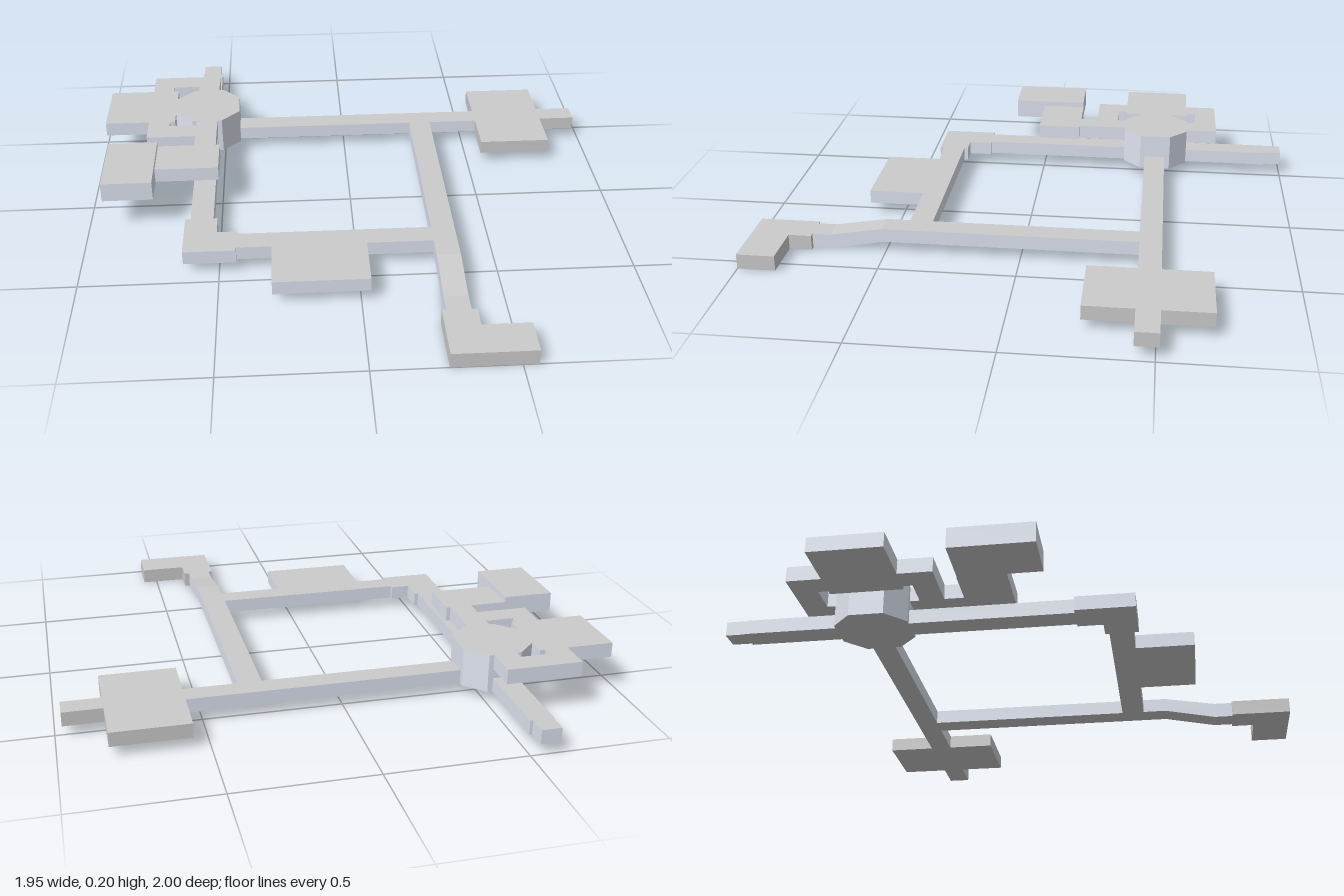
import * as THREE from 'three';

const grey = new THREE.MeshStandardMaterial({ color: 0xcccccc, flatShading: true });
const wallBlue = new THREE.MeshStandardMaterial({ color: 0xdde3f0, flatShading: true });

// Plan outlines are listed as [x, z]; shape y is -z so the slab can be laid flat.
const planPoints = (pts) => pts.map(([x, z]) => new THREE.Vector2(x, -z));

// Holes wind the opposite way to the clockwise outlines so their walls face inward.
function holePath(pts) {
  const points = planPoints(pts);
  return new THREE.Path(THREE.ShapeUtils.isClockWise(points) ? points.reverse() : points);
}

function slab(name, outline, y0, y1, wallMaterial, holes = []) {
  const shape = new THREE.Shape(planPoints(outline));
  shape.holes = holes.map(holePath);
  const geometry = new THREE.ExtrudeGeometry(shape, { depth: y1 - y0, bevelEnabled: false });
  geometry.rotateX(-Math.PI / 2).translate(0, y0, 0);
  const mesh = new THREE.Mesh(geometry, [grey, wallMaterial]);
  mesh.name = name;
  return mesh;
}

export function createModel() {
  const group = new THREE.Group();
  group.name = 'floorPlan';

  // Lower storey: ring of corridors with its rooms
  const lowerOutline = [
    [-0.605, -1], [-0.533, -1], [-0.533, -0.93], [-0.523, -0.93], [-0.523, -0.602], // north passage
    [-0.505, -0.602], [-0.435, -0.533], [-0.435, -0.512],                           // hub
    [0.556, -0.512], [0.556, -0.43], [0.362, -0.43], [0.362, 0.51], [0.276, 0.51],  // east corridor
    [0.276, 0.422], [0.034, 0.422], [0.034, 0.633], [-0.31, 0.633], [-0.31, 0.422], // south room
    [-0.437, 0.422], [-0.437, 0.44], [-0.628, 0.44], [-0.628, 0.232], [-0.608, 0.232], // corner
    [-0.608, -0.342], [-0.625, -0.342], [-0.695, -0.411], [-0.695, -0.533],         // hub
    [-0.625, -0.602], [-0.608, -0.602], [-0.608, -0.93], [-0.605, -0.93],
  ];
  const courtyard = [
    [-0.435, -0.43], [0.276, -0.43], [0.276, 0.337], [-0.437, 0.337], [-0.437, 0.322], [-0.508, 0.322],
    [-0.508, 0.232], [-0.523, 0.232], [-0.523, -0.342], [-0.505, -0.342], [-0.435, -0.411],
  ];
  group.add(slab('lowerStorey', lowerOutline, 0.038, 0.09, wallBlue, [courtyard]));

  // East room with its short end passage
  const eastRoom = [
    [0.556, -0.69], [0.833, -0.69], [0.833, -0.512], [0.975, -0.512], [0.975, -0.43],
    [0.833, -0.43], [0.833, -0.253], [0.556, -0.253],
  ];
  group.add(slab('eastRoom', eastRoom, 0.038, 0.09, grey));

  // Octagonal hub joining the two storeys
  const octagon = [
    [-0.505, -0.602], [-0.435, -0.533], [-0.435, -0.411], [-0.505, -0.342],
    [-0.625, -0.342], [-0.695, -0.411], [-0.695, -0.533], [-0.625, -0.602],
  ];
  group.add(slab('octagonalHub', octagon, 0.09, 0.125, wallBlue));

  // Upper storey: looping corridor around the hub, with a mirrored pair of openings
  const upperOutline = [
    [-0.8, -0.725], [-0.523, -0.725], [-0.523, -0.602], [-0.505, -0.602], [-0.435, -0.533],
    [-0.435, -0.411], [-0.505, -0.342], [-0.523, -0.342], [-0.523, -0.15], [-0.508, -0.15],
    [-0.508, 0.022], [-0.75, 0.022], [-0.75, -0.15], [-0.608, -0.15], [-0.608, -0.22], [-0.8, -0.22],
    [-0.8, -0.342], [-0.975, -0.342], [-0.975, -0.602], [-0.8, -0.602],
  ];
  const northOpening = [
    [-0.715, -0.637], [-0.608, -0.637], [-0.608, -0.602], [-0.625, -0.602],
    [-0.695, -0.533], [-0.695, -0.602], [-0.715, -0.602],
  ];
  const southOpening = northOpening.map(([x, z]) => [x, -0.944 - z]);
  group.add(slab('upperStorey', upperOutline, 0.125, 0.18, wallBlue, [northOpening, southOpening]));

  // Taller side room on the upper storey
  const sideRoom = [[-0.94, -0.148], [-0.75, -0.148], [-0.75, 0.145], [-0.94, 0.145]];
  group.add(slab('upperSideRoom', sideRoom, 0.125, 0.2, wallBlue));

  // Ramp down from the east corridor, drawn as a side profile of [z, y]
  const profile = [[0.51, 0.038], [0.705, 0], [0.775, 0], [0.775, 0.057], [0.705, 0.057], [0.51, 0.09]];
  const rampShape = new THREE.Shape(profile.map(([z, y]) => new THREE.Vector2(z, y)));
  const rampGeometry = new THREE.ExtrudeGeometry(rampShape, { depth: 0.086, bevelEnabled: false });
  rampGeometry.rotateY(-Math.PI / 2).translate(0.362, 0, 0);
  const ramp = new THREE.Mesh(rampGeometry, [wallBlue, grey]);
  ramp.name = 'rampCorridor';
  group.add(ramp);

  // L-shaped room at the foot of the ramp
  const entrance = [[0.26, 0.775], [0.382, 0.775], [0.382, 0.86], [0.554, 0.86], [0.554, 1], [0.26, 1]];
  group.add(slab('entranceRoom', entrance, 0, 0.057, grey));

  return group;
}
